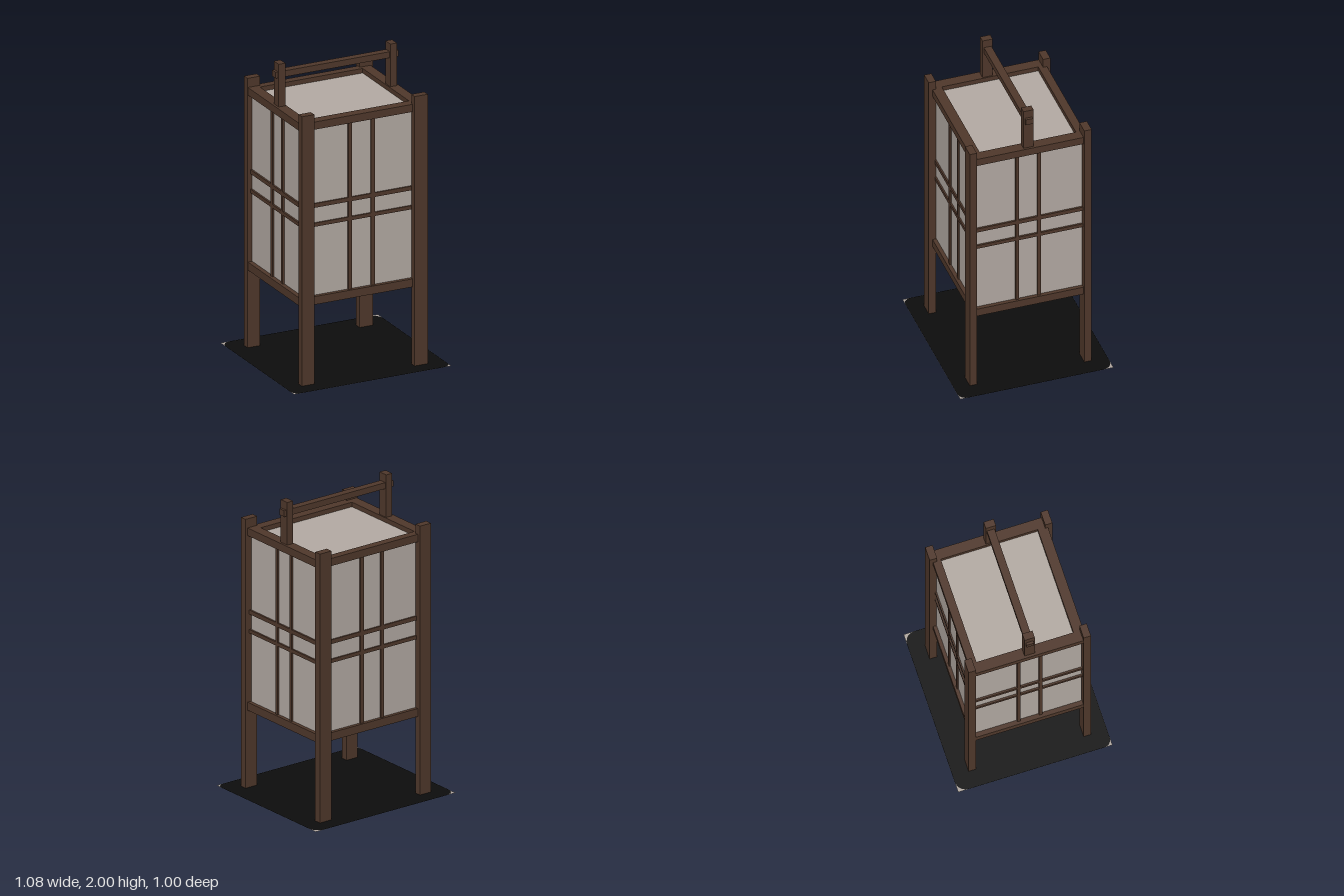
import * as THREE from 'three';

export function createModel() {
  const model = new THREE.Group();
  model.name = 'standingLantern';
  const wood = new THREE.MeshStandardMaterial({ color: 0x50382b, side: THREE.DoubleSide });
  wood.name = 'dark wood';
  const paper = new THREE.MeshStandardMaterial({ color: 0xb4aba4, side: THREE.DoubleSide });
  paper.name = 'rice paper';
  const black = new THREE.MeshStandardMaterial({ color: 0x0d0d0d, side: THREE.DoubleSide });
  black.name = 'black mat';

  const add = (name, geometry, material) => {
    const mesh = new THREE.Mesh(geometry, material);
    mesh.name = name;
    model.add(mesh);
    return mesh;
  };
  // Box given by its limits along each axis
  const box = (name, material, [x0, x1], [y0, y1], [z0, z1]) => {
    const mesh = add(name, new THREE.BoxGeometry(x1 - x0, y1 - y0, z1 - z0), material);
    mesh.position.set((x0 + x1) / 2, (y0 + y1) / 2, (z0 + z1) / 2);
    return mesh;
  };

  // Legs, hollow at the foot
  const legs = [
    ['frontRightLeg', [-0.435, -0.35], [0.345, 0.392]],
    ['frontLeftLeg', [0.34, 0.43], [0.349, 0.395]],
    ['backRightLeg', [-0.432, -0.346], [-0.397, -0.35]],
    ['backLeftLeg', [0.34, 0.43], [-0.397, -0.349]],
  ];
  for (const [name, x, z] of legs) {
    const { geometry } = box(name, wood, x, [0, 1.78], z);
    const index = Array.from(geometry.index.array);
    index.splice(18, 6); // drop the bottom face
    geometry.setIndex(index);
    geometry.clearGroups();
  }

  // Top and bottom frames
  for (const [level, y] of [['top', [1.67, 1.72]], ['bottom', [0.52, 0.573]]]) {
    box(level + 'FrontRail', wood, [-0.36, 0.35], y, [0.303, 0.367]);
    box(level + 'BackRail', wood, [-0.36, 0.35], y, [-0.375, -0.323]);
    box(level + 'RightRail', wood, [-0.43, -0.36], y, [-0.375, 0.367]);
    box(level + 'LeftRail', wood, [0.347, 0.415], y, [-0.375, 0.367]);
  }

  // Paper box
  box('paperBox', paper, [-0.4, 0.39], [0.54, 1.69], [-0.352, 0.342]);

  // Lattice bars on all four sides
  const barRows = [[1.15, 1.177], [1.025, 1.049]];
  for (const [side, z] of [['front', [0.338, 0.352]], ['back', [-0.362, -0.348]]]) {
    for (const y of barRows) box(side + 'CrossBar', wood, [-0.37, 0.36], y, z);
    for (const x of [[-0.095, -0.07], [0.062, 0.087]])
      box(side + 'UprightBar', wood, x, [0.56, 1.68], z);
  }
  for (const [side, x] of [['right', [-0.412, -0.396]], ['left', [0.386, 0.402]]]) {
    for (const y of barRows) box(side + 'CrossBar', wood, x, y, [-0.36, 0.355]);
    for (const z of [[0.065, 0.086], [-0.076, -0.055]])
      box(side + 'UprightBar', wood, x, [0.56, 1.68], z);
  }

  // Carrying handle
  box('rightHandlePost', wood, [-0.414, -0.368], [1.69, 2], [-0.03, 0.036]);
  box('leftHandlePost', wood, [0.355, 0.4], [1.69, 2], [-0.03, 0.036]);
  box('handleBar', wood, [-0.43, 0.417], [1.907, 1.947], [-0.022, 0.027]);

  // Floor mat: a black rounded sheet with pale corners
  const [x0, x1, y0, y1] = [-0.542, 0.542, -0.496, 0.5];
  const outline = (path, inset, low, high) => {
    const [l, r, b, t] = [x0 + inset, x1 - inset, y0 + 2 * inset, y1 - inset];
    path.moveTo(l + low, b);
    path.lineTo(r - low, b);
    path.quadraticCurveTo(r, b, r, b + low);
    path.lineTo(r, t - high);
    path.quadraticCurveTo(r, t, r - high, t);
    path.lineTo(l + high, t);
    path.quadraticCurveTo(l, t, l, t - high);
    path.lineTo(l, b + low);
    path.quadraticCurveTo(l, b, l + low, b);
    return path;
  };
  const mat = outline(new THREE.Shape(), 0.0005, 0.06, 0.08);
  const corners = new THREE.Shape([[x0, y0], [x1, y0], [x1, y1], [x0, y1]]
    .map(([x, y]) => new THREE.Vector2(x, y)));
  corners.holes.push(outline(new THREE.Path(), 0.0005, 0.06, 0.08));
  for (const [name, shape, material] of [['floorMat', mat, black], ['matCorners', corners, paper]]) {
    const mesh = add(name, new THREE.ShapeGeometry(shape), material);
    mesh.rotation.x = -Math.PI / 2;
    mesh.position.y = 0.01;
  }
  return model;
}
